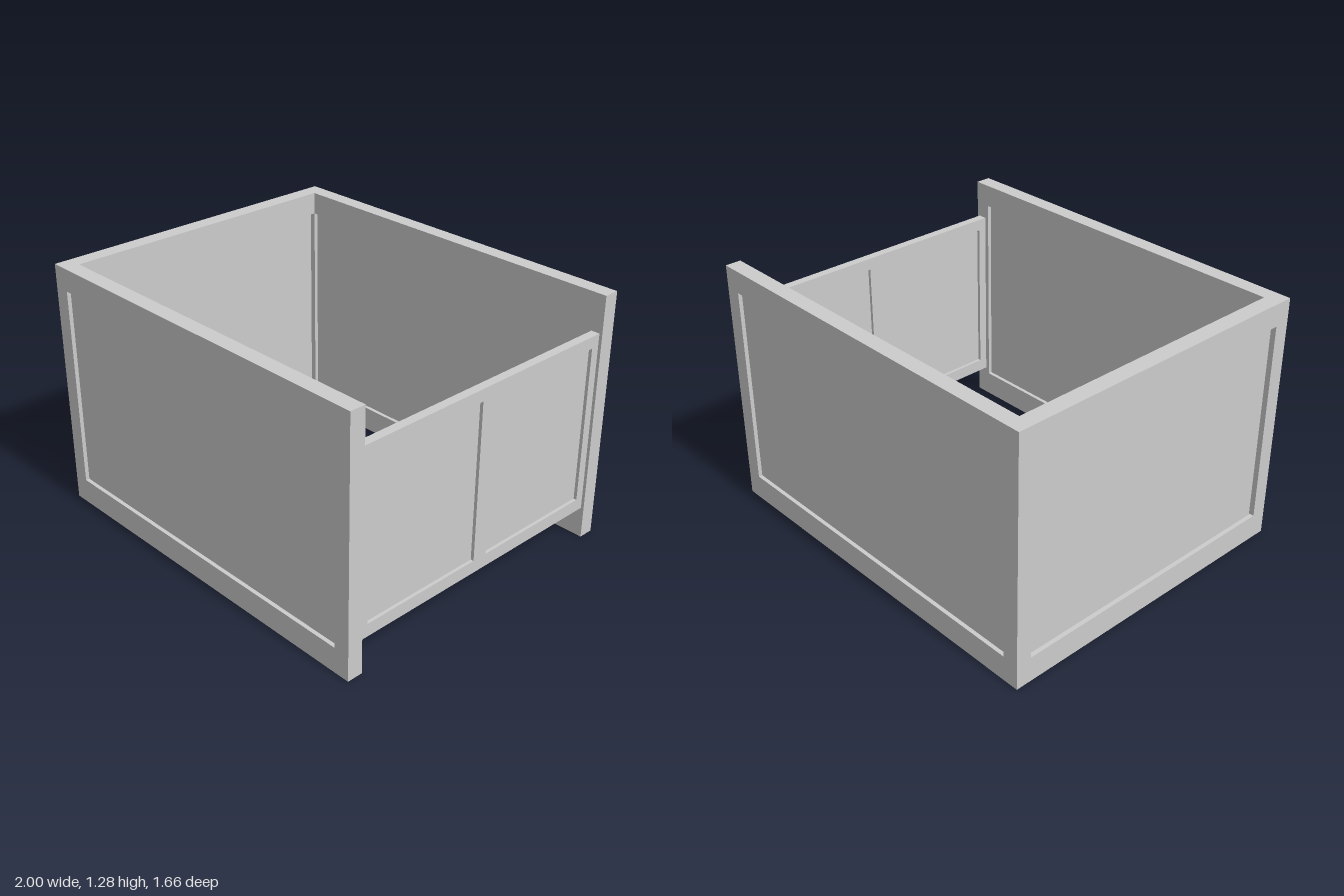
import * as THREE from 'three';

const H = 1.28, LOW = 0.13, HIGH = 1.165; // wall height and opening limits
const Z_IN = 0.75, Z_OUT = 0.83;          // inner and outer wall planes
const material = new THREE.MeshStandardMaterial({ color: 0xcccccc, flatShading: true });

function rect(target, x0, y0, x1, y1) {
  target.moveTo(x0, y0);
  target.lineTo(x1, y0);
  target.lineTo(x1, y1);
  target.lineTo(x0, y1);
  target.closePath();
  return target;
}

// Flat frame with rectangular openings, centred on its thickness
function frame(name, outer, openings, depth) {
  const shape = rect(new THREE.Shape(), ...outer);
  for (const o of openings) shape.holes.push(rect(new THREE.Path(), ...o));
  const geometry = new THREE.ExtrudeGeometry(shape, { depth, bevelEnabled: false });
  geometry.translate(0, 0, -depth / 2);
  const mesh = new THREE.Mesh(geometry, material);
  mesh.name = name;
  return mesh;
}

// Box given by its minimum and maximum corners
function box(name, x0, y0, z0, x1, y1, z1) {
  const mesh = new THREE.Mesh(new THREE.BoxGeometry(x1 - x0, y1 - y0, z1 - z0), material);
  mesh.position.set((x0 + x1) / 2, (y0 + y1) / 2, (z0 + z1) / 2);
  mesh.name = name;
  return mesh;
}

// Long wall: frame with a panel recessed on both faces
function longWall(name, z) {
  const wall = new THREE.Group();
  wall.name = name;
  wall.add(
    frame('wallFrame', [-1, 0, 1, H], [[-0.917, LOW, 0.917, HIGH]], Z_OUT - Z_IN),
    box('wallPanel', -0.917, LOW, -0.02, 0.917, HIGH, 0.02)
  );
  wall.position.z = z;
  return wall;
}

// End wall: rails between the long walls and a panel with narrow side gaps
function endWall() {
  const wall = new THREE.Group();
  wall.name = 'endWall';
  wall.add(
    box('bottomRail', -1, 0, -Z_IN, -0.917, LOW, Z_IN),
    box('topRail', -1, HIGH, -Z_IN, -0.917, H, Z_IN),
    box('endPanel', -0.978, LOW, -0.742, -0.938, HIGH, 0.742)
  );
  return wall;
}

// Gate: lower frame with two thin panels, set between the long walls
function gate() {
  const group = new THREE.Group();
  group.name = 'gate';
  const openings = [-1, 1].map((s) => [s * 0.373 - 0.332, 0.225, s * 0.373 + 0.332, 1.03]);
  group.add(frame('gateFrame', [-Z_IN, 0.16, Z_IN, 1.09], openings, 0.045));
  for (const [x0, y0, x1, y1] of openings) {
    group.add(box('gatePanel', x0, y0, -0.006, x1, y1, 0.006));
  }
  group.rotation.y = Math.PI / 2;
  group.position.x = 0.962;
  return group;
}

export function createModel() {
  const model = new THREE.Group();
  model.name = 'panelledPen';
  const z = (Z_IN + Z_OUT) / 2;
  model.add(longWall('frontWall', z), longWall('backWall', -z), endWall(), gate());
  return model;
}
